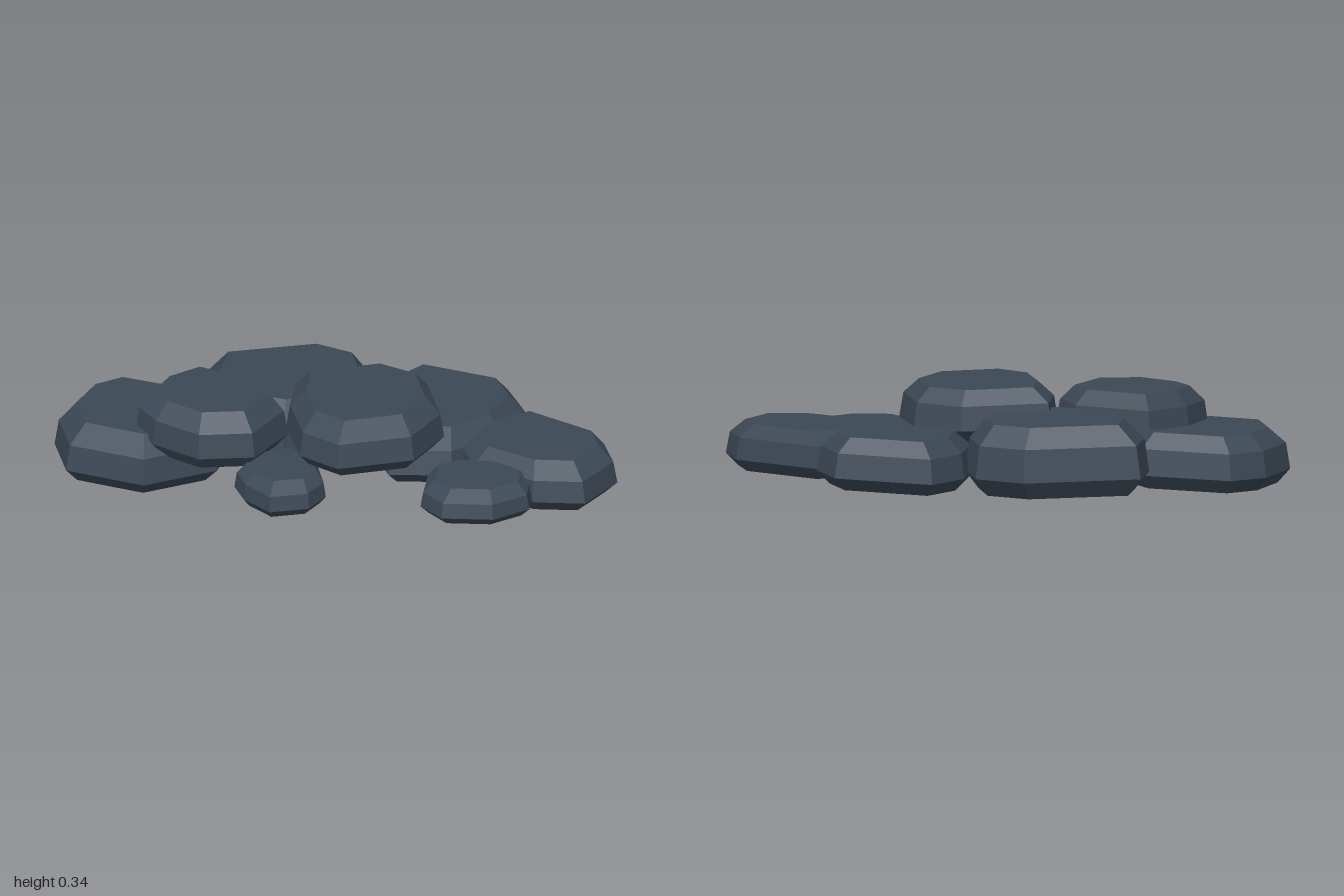
import * as THREE from 'three';

const slate = new THREE.MeshStandardMaterial({ color: 0x3c4856 });
slate.name = 'slate';
slate.flatShading = true;

// Cross-sections of every stone: height fraction, outline scale, shift towards the back
const RINGS = [
  [0, 0.85, 0],
  [0.25, 1, 0],
  [0.71, 0.95, 0],
  [1, 0.75, -0.025],
];

// A flat boulder from a clockwise outline of x, z pairs (seen from above)
function stone(name, bottom, top, outline) {
  const n = outline.length / 2;
  let cx = 0, cz = 0;
  for (let i = 0; i < n; i++) {
    cx += outline[2 * i] / n;
    cz += outline[2 * i + 1] / n;
  }
  const pos = [];
  for (const [t, s, back] of RINGS) {
    for (let i = 0; i < n; i++) {
      pos.push(
        cx + (outline[2 * i] - cx) * s,
        bottom + (top - bottom) * t,
        cz + (outline[2 * i + 1] - cz) * s + back,
      );
    }
  }
  pos.push(cx, bottom, cz, cx, top, cz);

  const index = [];
  const last = (RINGS.length - 1) * n;
  const low = RINGS.length * n, high = low + 1;
  for (let i = 0; i < n; i++) {
    const j = (i + 1) % n;
    for (let r = 0; r < last; r += n) {
      index.push(r + j, r + i, r + n + i, r + j, r + n + i, r + n + j);
    }
    index.push(low, i, j, high, last + j, last + i);
  }

  const indexed = new THREE.BufferGeometry();
  indexed.setAttribute('position', new THREE.Float32BufferAttribute(pos, 3));
  indexed.setIndex(index);
  const geometry = indexed.toNonIndexed();
  geometry.computeVertexNormals();
  const mesh = new THREE.Mesh(geometry, slate);
  mesh.name = name;
  return mesh;
}

export function createModel() {
  const group = new THREE.Group();
  group.name = 'rockPile';
  group.add(
    // Large ground stones
    stone('rightGroundStone', 0, 0.2,
      [-0.84, -0.25, -0.5, -0.17, -0.38, 0, -0.4, 0.2, -0.63, 0.37, -0.92, 0.29, -1, 0.07, -0.95, -0.15]),
    stone('backRightStone', 0.005, 0.257,
      [-0.54, -0.37, -0.15, -0.53, 0.03, -0.46, 0.1, -0.26, 0.03, -0.02, -0.18, 0.12, -0.42, 0.06, -0.54, -0.18]),
    stone('backLeftStone', 0.012, 0.2,
      [0.17, -0.555, 0.53, -0.46, 0.62, -0.29, 0.57, -0.06, 0.42, 0.12, 0.2, 0.15, 0.08, -0.1, 0.08, -0.4]),
    stone('leftGroundStone', 0.015, 0.183,
      [0.62, -0.25, 0.94, -0.08, 1, 0.07, 0.92, 0.27, 0.74, 0.29, 0.5, 0.18, 0.43, 0.05, 0.47, -0.12]),
    // Stones resting on top
    stone('centreTopStone', 0.153, 0.337,
      [-0.18, -0.09, 0.12, -0.23, 0.3, -0.15, 0.39, 0.1, 0.32, 0.32, 0.07, 0.44, -0.08, 0.35, -0.17, 0.11]),
    stone('rightTopStone', 0.132, 0.322,
      [-0.53, -0.11, -0.24, -0.01, -0.16, 0.13, -0.24, 0.35, -0.43, 0.4, -0.61, 0.3, -0.69, 0.19, -0.65, 0.02]),
    // Small front stones
    stone('smallCentreStone', 0.037, 0.155,
      [-0.31, 0.36, -0.26, 0.24, -0.14, 0.17, -0.03, 0.24, 0.02, 0.39, -0.02, 0.5, -0.15, 0.555, -0.26, 0.46]),
    stone('smallLeftStone', 0.037, 0.152,
      [0.35, 0.24, 0.44, 0.17, 0.62, 0.16, 0.73, 0.24, 0.74, 0.37, 0.63, 0.48, 0.45, 0.5, 0.36, 0.41]),
  );
  return group;
}
